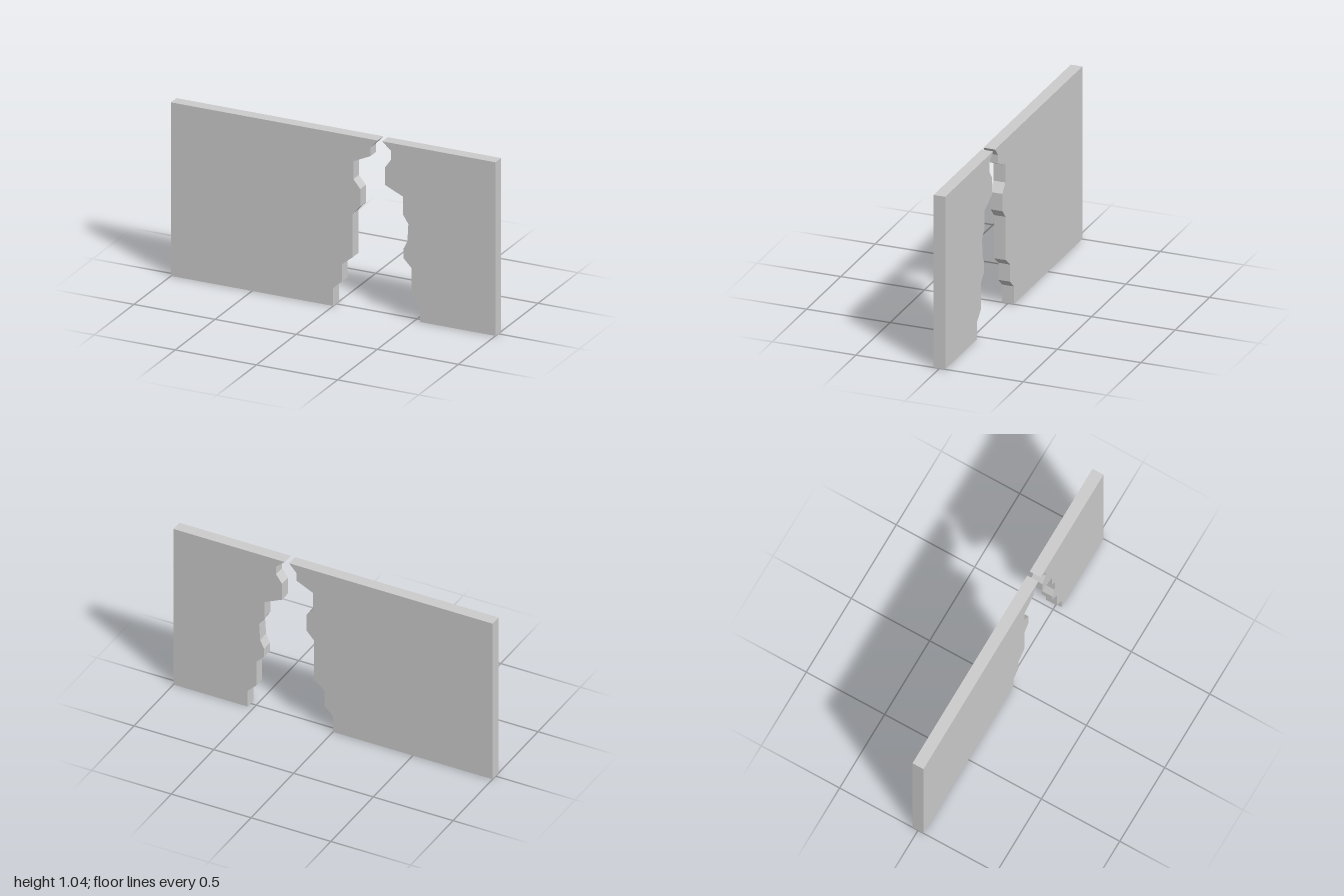
import * as THREE from 'three';

const HEIGHT = 1.037;
const DEPTH = 0.07;

// Jagged break lines, listed from the ground up as [x, y]
const rightBreak = [
  [0, 0], [0, 0.107], [0.055, 0.157], [0.055, 0.26], [0.12, 0.312], [0.12, 0.572],
  [0.167, 0.624], [0.167, 0.728], [0.124, 0.78], [0.124, 0.886],
  [0.23, 0.936], [0.23, 0.987], [0.275, HEIGHT],
];
const leftBreak = [
  [0.535, 0], [0.535, 0.105], [0.481, 0.157], [0.481, 0.314], [0.432, 0.364], [0.432, 0.417],
  [0.457, 0.468], [0.463, 0.572], [0.429, 0.624], [0.429, 0.73], [0.32, 0.78],
  [0.32, 0.886], [0.357, 0.938], [0.357, 0.989], [0.302, HEIGHT],
];

// Slab between a straight outer end and a broken inner edge
function wallPiece(name, outerX, breakLine, material) {
  const outline = [[outerX, 0], ...breakLine, [outerX, HEIGHT]];
  const shape = new THREE.Shape(outline.map(([x, y]) => new THREE.Vector2(x, y)));
  const geometry = new THREE.ExtrudeGeometry(shape, { depth: DEPTH, bevelEnabled: false });
  geometry.translate(0, 0, -DEPTH / 2);
  const mesh = new THREE.Mesh(geometry, material);
  mesh.name = name;
  return mesh;
}

export function createModel() {
  const group = new THREE.Group();
  group.name = 'brokenWall';
  const material = new THREE.MeshStandardMaterial({ color: 0xcccccc, flatShading: true });
  group.add(
    wallPiece('rightWallPiece', -1, rightBreak, material),
    wallPiece('leftWallPiece', 1, leftBreak, material),
  );
  return group;
}
